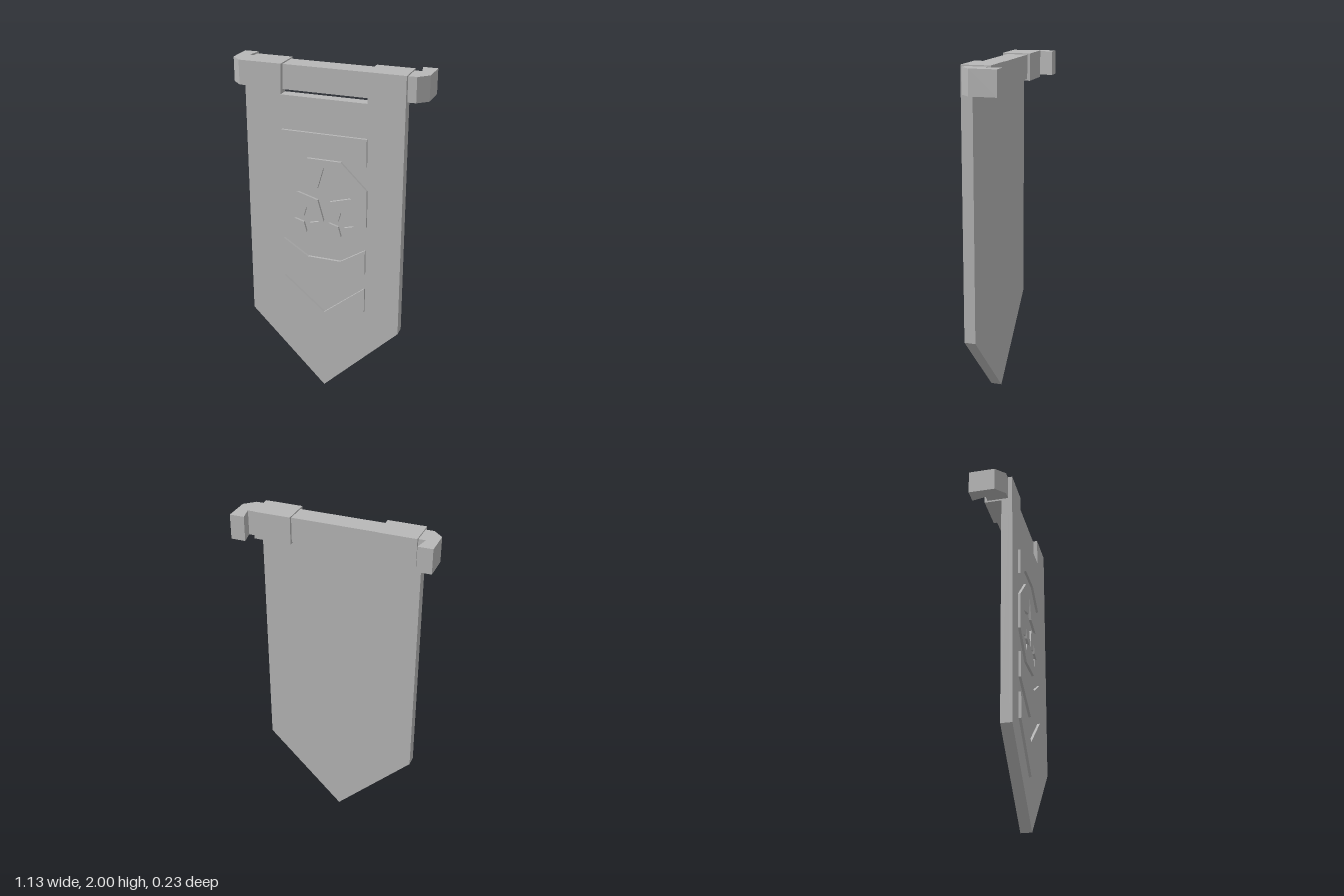
import * as THREE from 'three';

export function createModel() {
  const group = new THREE.Group();
  group.name = 'hangingBanner';
  const stone = new THREE.MeshStandardMaterial({ color: 0xb8b8b8 });
  stone.name = 'plain grey';

  const add = (name, geometry) => {
    const mesh = new THREE.Mesh(geometry, stone);
    mesh.name = name;
    group.add(mesh);
    return mesh;
  };

  // Closed outline from its right half, listed top to bottom
  const mirrored = (half) => {
    const left = half.filter(([x]) => x > 0).map(([x, y]) => [-x, y]).reverse();
    return [...half, ...left].map(([x, y]) => new THREE.Vector2(x, y));
  };
  const extrude = (shape, z0, z1) =>
    new THREE.ExtrudeGeometry(shape, { depth: z1 - z0, bevelEnabled: false }).translate(0, 0, z0);

  // Four-pointed star outline
  const star = (cx, cy, rx, ry, inner) => {
    const pts = [];
    for (let i = 0; i < 4; i++) {
      const a = (i * Math.PI) / 2, b = a + Math.PI / 4;
      pts.push(new THREE.Vector2(cx + rx * Math.cos(a), cy + ry * Math.sin(a)));
      pts.push(new THREE.Vector2(cx + inner * Math.cos(b), cy + inner * Math.sin(b)));
    }
    return new THREE.Path(pts);
  };

  const BACK = 0.05, PANEL = 0.1, FRONT = 0.115;

  // Cloth with two hanging tabs and a pointed hem
  const outline = [[0.25, 1.83], [0.245, 2], [0.46, 2], [0.46, 0.46], [0, 0]];
  add('cloth', extrude(new THREE.Shape(mirrored(outline)), BACK, PANEL));

  // Raised border around the recessed panel
  const border = new THREE.Shape(mirrored(outline));
  border.holes.push(new THREE.Path(mirrored([[0.35, 1.73], [0.35, 0.51], [0, 0.16]])));
  add('border', extrude(border, PANEL, FRONT));

  // Raised bands above and below the medallion
  const bands = {
    upperBand: [[0.25, 1.63], [0.25, 1.47], [0.1, 1.57]],
    middleChevron: [[0.1, 0.87], [0.25, 0.965], [0.25, 0.81], [0, 0.665]],
    lowerChevron: [[0, 0.515], [0.25, 0.72], [0.25, 0.565], [0, 0.31]],
  };
  for (const [name, half] of Object.entries(bands)) {
    add(name, extrude(new THREE.Shape(mirrored(half)), PANEL, FRONT));
  }

  // Eight-sided medallion with three sunken stars
  const medallion = new THREE.Shape(mirrored([[0.1, 1.48], [0.255, 1.33], [0.255, 1.11], [0.1, 0.965]]));
  medallion.holes.push(star(0, 1.272, 0.165, 0.165, 0.052));
  for (const s of [-1, 1]) medallion.holes.push(star(s * 0.105, 1.105, 0.08, 0.08, 0.025));
  add('medallion', extrude(medallion, PANEL, FRONT));

  // Crossbar with chamfered ends that hook backwards; outline is x and -z
  const bar = new THREE.Shape(mirrored([
    [0.5, 0.033], [0.482, 0.118], [0.565, 0.118], [0.565, -0.035], [0.508, -0.09],
  ]));
  add('crossbar', extrude(bar, 1.853, 1.993).rotateX(-Math.PI / 2));

  // Sleeves wrapping the crossbar behind the tabs
  for (const s of [-1, 1]) {
    const sleeve = add(s > 0 ? 'leftSleeve' : 'rightSleeve', new THREE.BoxGeometry(0.215, 0.157, 0.1));
    sleeve.position.set(s * 0.3525, 1.9215, 0);
  }

  return group;
}
